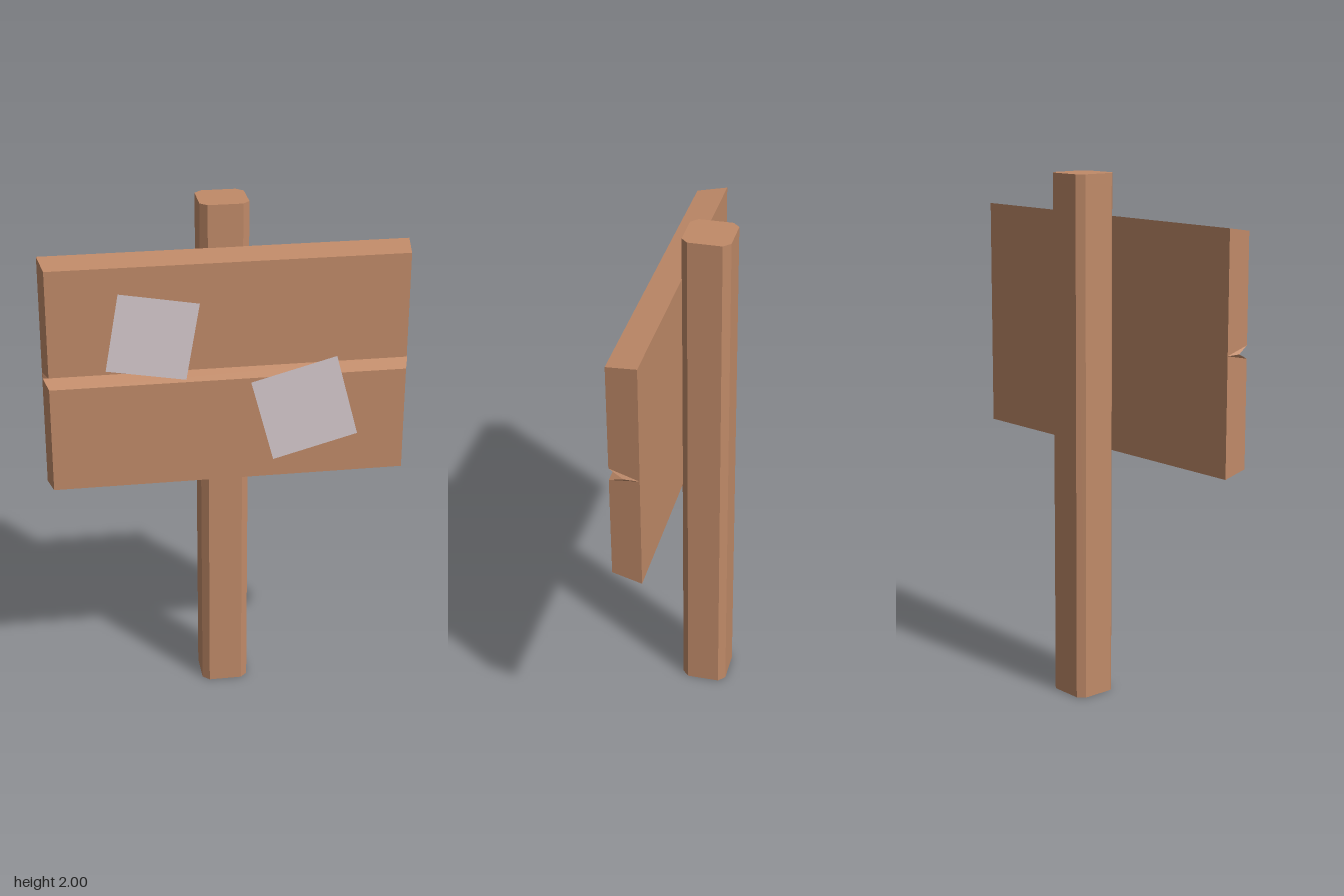
import * as THREE from 'three';

const wood = new THREE.MeshStandardMaterial({ color: 0xc08a68 });
wood.name = 'wood';
wood.flatShading = true;
const paper = new THREE.MeshStandardMaterial({ color: 0xd6cace, side: THREE.DoubleSide });
paper.name = 'paper';

// Square post with chamfered long edges, extruded upward
function makePost() {
  const r = 0.09, c = 0.064;
  const outline = [[r, -c], [r, c], [c, r], [-c, r], [-r, c], [-r, -c], [-c, -r], [c, -r]];
  const shape = new THREE.Shape(outline.map(([x, y]) => new THREE.Vector2(x, y)));
  const geometry = new THREE.ExtrudeGeometry(shape, { depth: 2, bevelEnabled: false });
  geometry.rotateX(-Math.PI / 2);
  geometry.scale(1, 1, 0.98);
  geometry.translate(0, 0, -0.057);
  const mesh = new THREE.Mesh(geometry, wood);
  mesh.name = 'post';
  return mesh;
}

// Bevelled board with a V groove between its two planks
function makeBoard() {
  const back = 0.03, front = 0.1435, wide = 0.675, narrow = 0.657;
  // Profile points: half width, height, depth
  const profile = [
    [wide, 0.955, back], [narrow, 0.972, front], [narrow, 1.374, front],
    [wide, 1.398, 0.087],
    [narrow, 1.422, front], [narrow, 1.824, front], [wide, 1.841, back],
  ];
  const middle = [wide, 1.398, back];
  const mirror = ([x, y, z]) => [-x, y, z];
  const positions = [];
  const tri = (a, b, c) => positions.push(...a, ...b, ...c);
  profile.forEach((a, i) => {
    const b = profile[(i + 1) % profile.length];
    // Long face across the board
    tri(mirror(a), a, b);
    tri(mirror(a), b, mirror(b));
    // Slices of the two end faces
    if (i < profile.length - 1) {
      tri(middle, b, a);
      tri(mirror(middle), mirror(a), mirror(b));
    }
  });
  const geometry = new THREE.BufferGeometry();
  geometry.setAttribute('position', new THREE.Float32BufferAttribute(positions, 3));
  geometry.computeVertexNormals();
  const mesh = new THREE.Mesh(geometry, wood);
  mesh.name = 'board';
  return mesh;
}

// Tilted square notice pinned on the board
function makeNotice(name, size, x, y, tilt) {
  const mesh = new THREE.Mesh(new THREE.PlaneGeometry(size, size), paper);
  mesh.name = name;
  mesh.position.set(x, y, 0.146);
  mesh.rotation.z = tilt;
  return mesh;
}

export function createModel() {
  const model = new THREE.Group();
  model.name = 'noticeBoard';
  model.add(
    makePost(),
    makeBoard(),
    makeNotice('upperNotice', 0.296, -0.281, 1.556, -0.174),
    makeNotice('lowerNotice', 0.329, 0.279, 1.241, 0.262),
  );
  return model;
}
